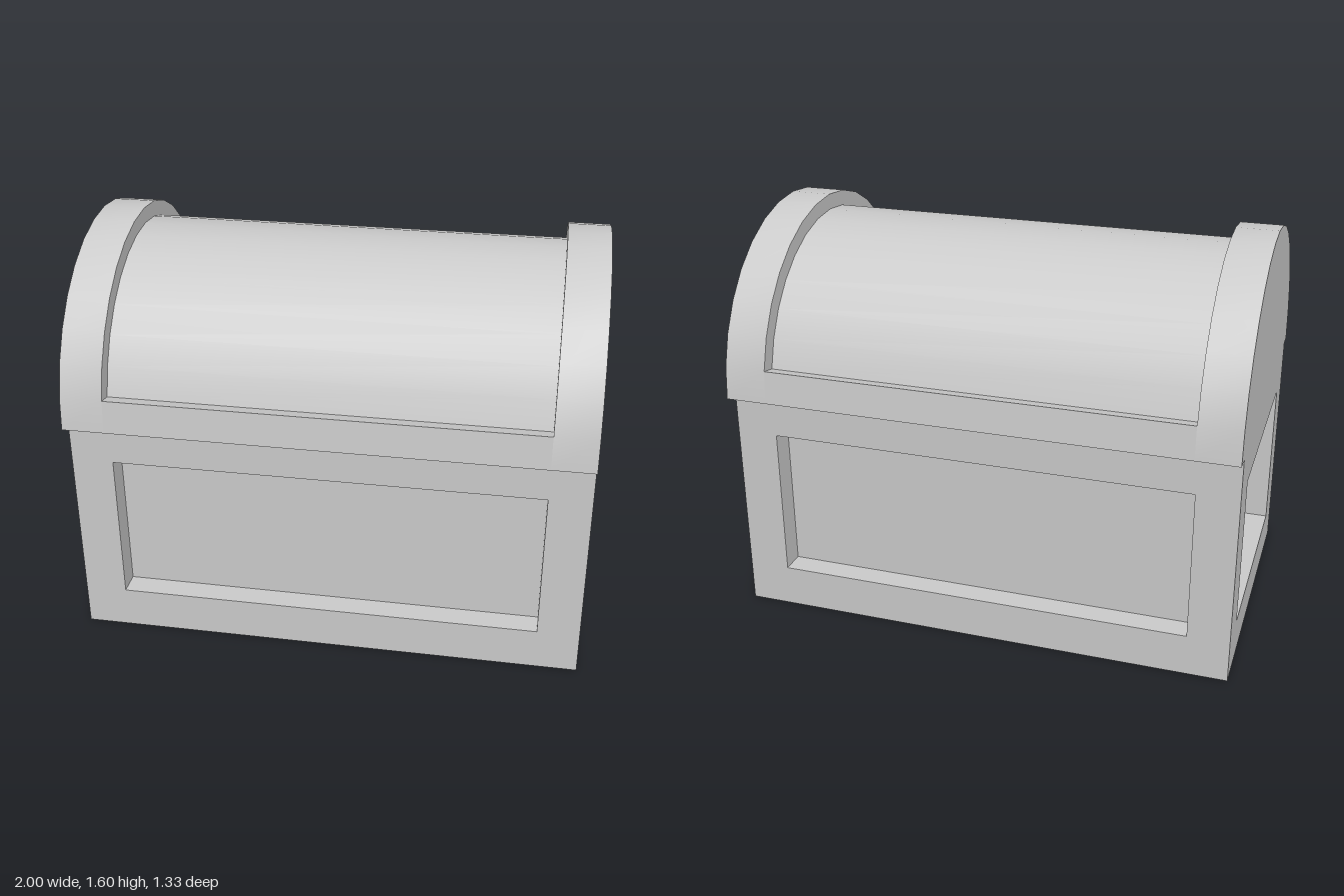
import * as THREE from 'three';
import { toCreasedNormals } from 'three/addons/utils/BufferGeometryUtils.js';

const BODY_H = 0.936, HALF_Z = 0.6, INSET = 0.095;
const LID_R = 0.664, BARREL_R = 0.602, RIM = 0.165, SEGMENTS = 16;

const material = new THREE.MeshStandardMaterial({ color: 0xcccccc });

function addMesh(group, name, geometry) {
  const mesh = new THREE.Mesh(geometry, material);
  mesh.name = name;
  group.add(mesh);
  return mesh;
}

// Rectangular wall with a window, extruded outward along +z
function frameGeometry(halfWidth, holeHalfWidth) {
  const corners = (w, y0, y1) => [[-w, y0], [w, y0], [w, y1], [-w, y1]].map(([x, y]) => new THREE.Vector2(x, y));
  const shape = new THREE.Shape(corners(halfWidth, 0, BODY_H));
  shape.holes.push(new THREE.Path(corners(holeHalfWidth, 0.168, 0.772)));
  return new THREE.ExtrudeGeometry(shape, { depth: INSET, bevelEnabled: false });
}

// Point on the lid arc, i = 0..SEGMENTS
function arcPoint(radius, i) {
  const a = (i / SEGMENTS) * Math.PI;
  return new THREE.Vector2(radius * Math.cos(a), BODY_H + radius * Math.sin(a));
}

// Lid profile extruded along x, smooth over the arc and sharp at the edges
function lidGeometry(points, x0, x1) {
  const geometry = new THREE.ExtrudeGeometry(new THREE.Shape(points), { depth: x1 - x0, bevelEnabled: false });
  geometry.rotateY(Math.PI / 2).translate(x0, 0, 0);
  return toCreasedNormals(geometry, 0.5);
}

export function createModel() {
  const chest = new THREE.Group();
  chest.name = 'chest';

  // Body: core whose faces form the recessed panels, with a frame on each side
  const body = new THREE.Group();
  body.name = 'body';
  chest.add(body);
  const coreX = 1 - INSET, coreZ = HALF_Z - INSET;
  addMesh(body, 'core', new THREE.BoxGeometry(coreX * 2, BODY_H, coreZ * 2).translate(0, BODY_H / 2, 0));
  for (const side of [1, -1]) {
    const long = addMesh(body, side > 0 ? 'frontFrame' : 'backFrame', frameGeometry(1, 0.835));
    long.rotation.y = side > 0 ? 0 : Math.PI;
    long.position.z = side * coreZ;

    const end = addMesh(body, side > 0 ? 'leftFrame' : 'rightFrame', frameGeometry(coreZ, 0.438));
    end.rotation.y = side * Math.PI / 2;
    end.position.x = side * coreX;
  }

  // Lid: raised rims at both ends, sunken barrel with a full-width lower band between
  const lid = new THREE.Group();
  lid.name = 'lid';
  chest.add(lid);
  const outer = [], barrel = [];
  for (let i = 0; i <= SEGMENTS; i++) {
    outer.push(arcPoint(LID_R, i));
    if (i === 0 || i === SEGMENTS) {
      barrel.push(arcPoint(LID_R, i));
    } else {
      if (i === 1) barrel.push(arcPoint(LID_R, i));
      barrel.push(arcPoint(BARREL_R, i));
      if (i === SEGMENTS - 1) barrel.push(arcPoint(LID_R, i));
    }
  }
  addMesh(lid, 'leftRim', lidGeometry(outer, 1 - RIM, 1));
  addMesh(lid, 'rightRim', lidGeometry(outer, -1, RIM - 1));
  addMesh(lid, 'barrel', lidGeometry(barrel, RIM - 1, 1 - RIM));

  return chest;
}
